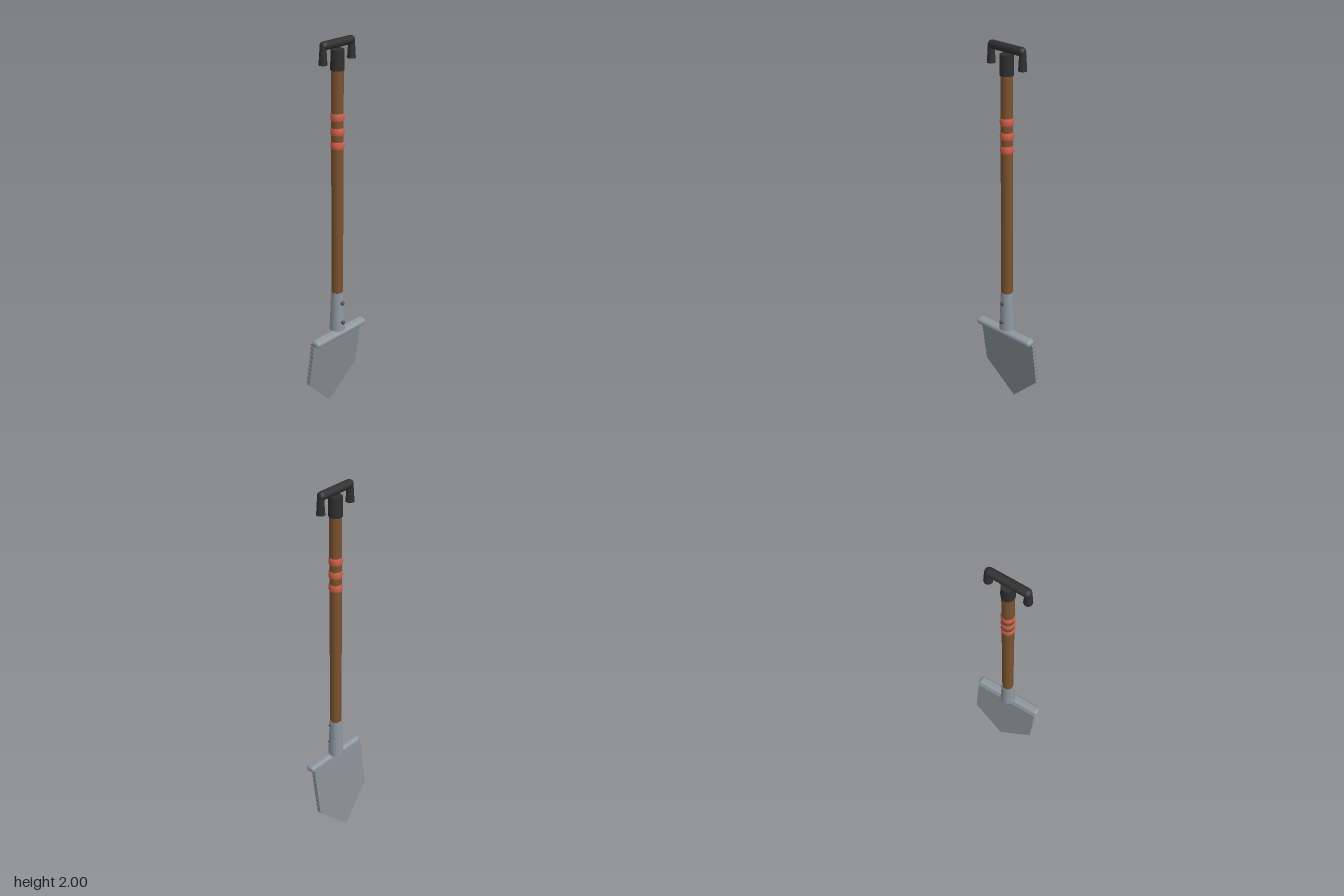
import * as THREE from 'three';
import { RoundedBoxGeometry } from 'three/addons/geometries/RoundedBoxGeometry.js';

const SHAFT_Z = 0.012;

export function createModel() {
  const material = (name, color) => {
    const m = new THREE.MeshStandardMaterial({ color });
    m.name = name;
    return m;
  };
  const steel = material('blade steel', 0x868d93);
  const paleSteel = material('socket steel', 0x8f979f);
  const rivetSteel = material('rivet steel', 0x4a4f55);
  const wood = material('wood', 0x7a5230);
  const red = material('red band', 0xd2604a);
  const black = material('black grip', 0x2f2f2f);

  const model = new THREE.Group();
  model.name = 'shovel';
  const add = (name, geometry, mat, x, y, z, parent = model) => {
    const mesh = new THREE.Mesh(geometry, mat);
    mesh.name = name;
    mesh.position.set(x, y, z);
    parent.add(mesh);
    return mesh;
  };
  // Upright cylinder on the shaft axis, given by its bottom and top heights
  const rod = (name, rTop, rBottom, y0, y1, mat, x = 0, sides = 16) =>
    add(name, new THREE.CylinderGeometry(rTop, rBottom, y1 - y0, sides), mat, x, (y0 + y1) / 2, SHAFT_Z);

  // Tilted blade with a pointed tip and finely toothed sides
  const bladeGroup = new THREE.Group();
  bladeGroup.name = 'bladeAssembly';
  bladeGroup.position.set(0, 0.445, 0.007);
  bladeGroup.rotation.x = 0.14;
  model.add(bladeGroup);

  const teeth = 10, shoulder = -0.265, tip = -0.448;
  const side = [[0.181, 0]];
  for (let i = 0; i < teeth; i++) {
    side.push([0.178, shoulder * (i + 0.5) / teeth], [0.181, shoulder * (i + 1) / teeth]);
  }
  const outline = new THREE.Shape([
    ...side.map(([x, y]) => new THREE.Vector2(-x, y)),
    new THREE.Vector2(0, tip),
    ...side.reverse().map(([x, y]) => new THREE.Vector2(x, y)),
  ]);
  const bladeGeometry = new THREE.ExtrudeGeometry(outline, { depth: 0.022, bevelEnabled: false });
  bladeGeometry.translate(0, 0, -0.011);
  add('blade', bladeGeometry, steel, 0, 0, 0, bladeGroup);

  // Rounded foot rest along the top of the blade
  add('footRest', new RoundedBoxGeometry(0.376, 0.036, 0.052, 4, 0.017), paleSteel, 0, 0.008, 0.02, bladeGroup);

  // Socket with two rivets on the front
  rod('socket', 0.032, 0.04, 0.465, 0.685, paleSteel);
  for (const [y, z] of [[0.627, 0.049], [0.517, 0.053]]) {
    add('rivet', new THREE.SphereGeometry(0.011, 12, 8), rivetSteel, 0, y, z);
  }

  // Wooden shaft and painted bands
  rod('shaft', 0.03, 0.03, 0.6, 1.87, wood);
  const bandProfile = [[0.029, -0.019], [0.033, -0.016], [0.034, 0], [0.033, 0.016], [0.029, 0.019]]
    .map(([r, y]) => new THREE.Vector2(r, y));
  for (const y of [1.48, 1.55, 1.622]) {
    add('band', new THREE.LatheGeometry(bandProfile, 16), red, 0, y, SHAFT_Z);
  }

  // Grip: collar, crossbar and two flared ends
  rod('collar', 0.033, 0.034, 1.85, 1.95, black);
  const bar = add('gripBar', new THREE.CapsuleGeometry(0.0215, 0.182, 6, 12), black, 0, 1.9785, SHAFT_Z);
  bar.rotation.z = Math.PI / 2;
  for (const s of [-1, 1]) {
    rod('gripEnd', 0.016, 0.0215, 1.89, 1.975, black, s * 0.098, 12);
  }

  return model;
}
